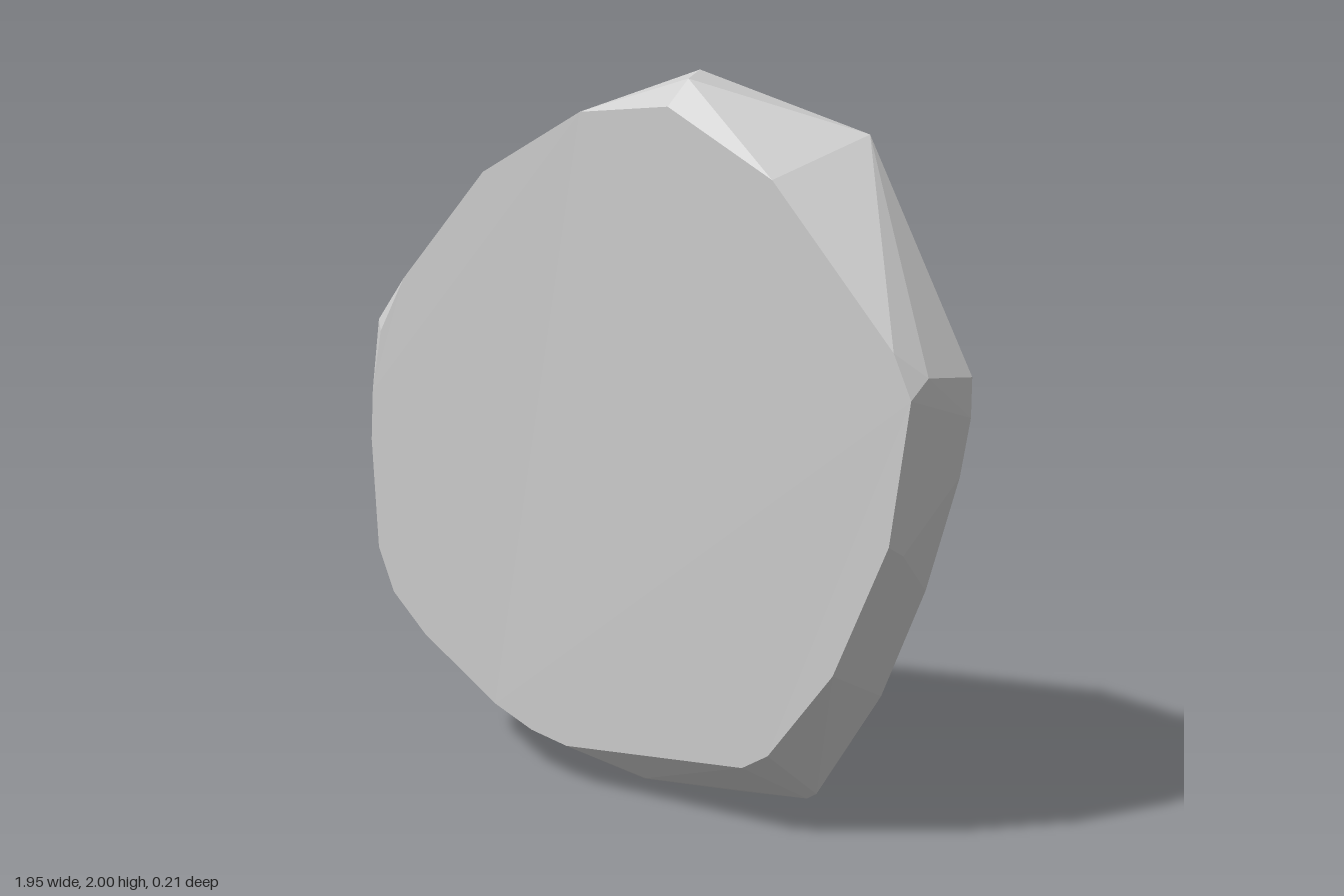
import * as THREE from 'three';
import { ConvexGeometry } from 'three/addons/geometries/ConvexGeometry.js';

const HALF = 0.104; // half the slab thickness

// Flat front outline, counter-clockwise from the right
const front = [
  [0.92, 1.21], [0.87, 1.32], [0.52, 1.72], [0.2, 1.9], [-0.09, 1.89], [-0.44, 1.73],
  [-0.76, 1.42], [-0.86, 1.26], [-0.9, 1.08], [-0.91, 0.93], [-0.89, 0.6], [-0.83, 0.47],
  [-0.7, 0.36], [-0.42, 0.2], [-0.28, 0.15], [-0.15, 0.13], [0.45, 0.2], [0.53, 0.25],
  [0.72, 0.5], [0.87, 0.85],
];

// Flat back outline, cut off straight at the left of the front view
const back = [
  [0.97, 1.25], [0.67, 1.83], [0.15, 2.0], [-0.48, 1.76], [-0.48, 0.07], [-0.25, 0.025],
  [-0.03, 0], [0.3, 0.04], [0.52, 0.07], [0.55, 0.09], [0.74, 0.4], [0.86, 0.7],
  [0.945, 1.0], [0.97, 1.15],
];

// Chipped corners between the two faces
const chips = [
  [-0.975, 1.28, 0], [-0.51, 1.735, 0], [0.24, 1.97, 0.07], [-0.89, 0.6, 0.07],
  [-0.8, 0.43, 0.05], [0.07, 0.06, 0.02], [0.935, 1.26, 0.05], [0.88, 0.82, 0.05],
];

export function createModel() {
  const group = new THREE.Group();
  group.name = 'stoneSlab';
  const points = [
    ...front.map(([x, y]) => new THREE.Vector3(x, y, HALF)),
    ...back.map(([x, y]) => new THREE.Vector3(x, y, -HALF)),
    ...chips.map((p) => new THREE.Vector3(...p)),
  ];
  const slab = new THREE.Mesh(
    new ConvexGeometry(points),
    new THREE.MeshStandardMaterial({ color: 0xcccccc, flatShading: true }),
  );
  slab.name = 'slab';
  group.add(slab);
  return group;
}
